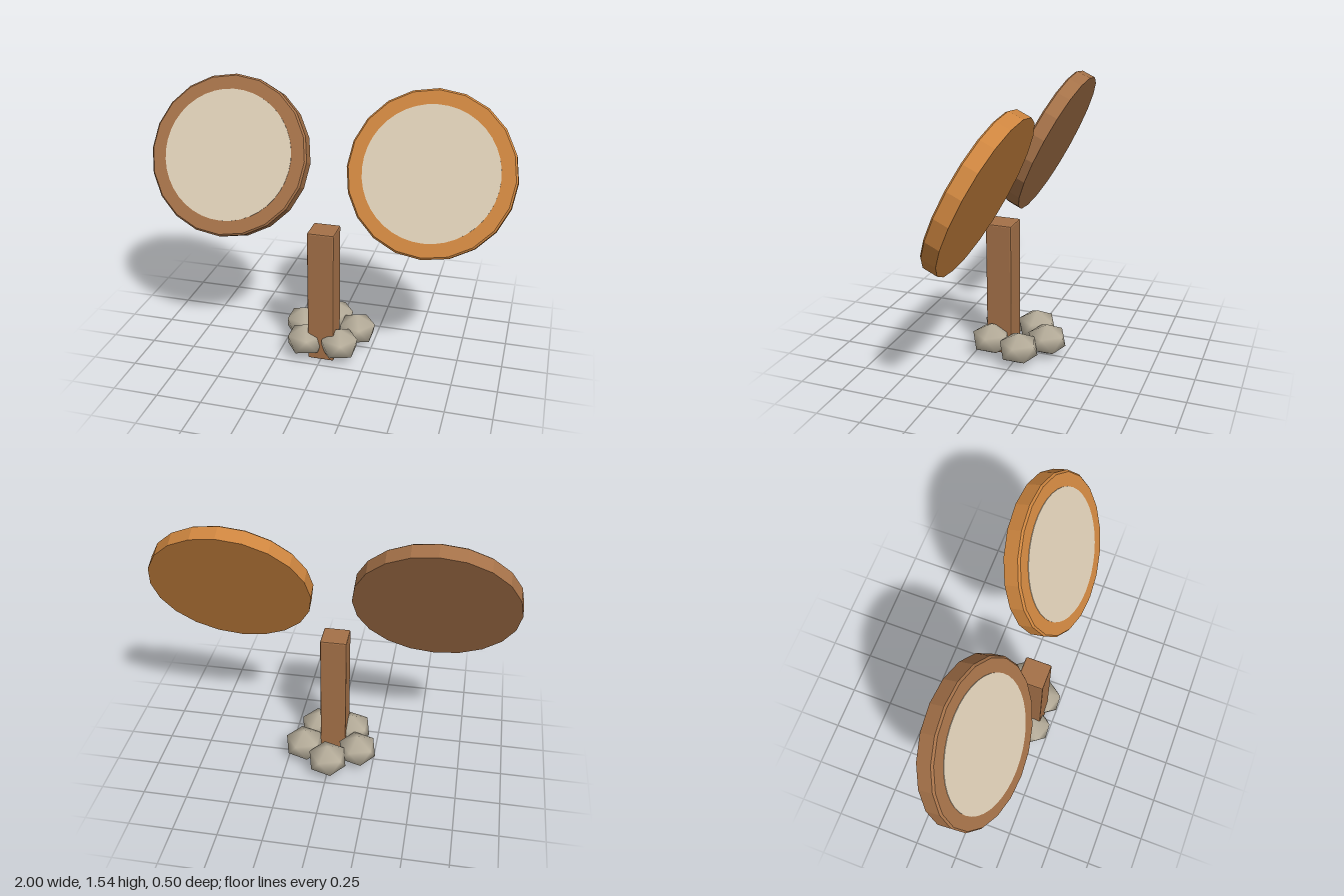
import * as THREE from 'three';
import { RoundedBoxGeometry } from 'three/addons/geometries/RoundedBoxGeometry.js';

// Stone: twelve-cornered ball with one corner up, smooth and slightly squashed
function stoneGeometry(radius, height) {
  const ring = 2 / Math.sqrt(5), level = height / Math.sqrt(5);
  const pos = [0, height, 0], index = [];
  for (let k = 0; k < 10; k++) {
    // even corners lie on the upper ring, odd ones on the lower ring
    const a = (k * Math.PI) / 5;
    pos.push(Math.cos(a) * ring * radius, k % 2 ? -level : level, Math.sin(a) * ring * radius);
  }
  pos.push(0, -height, 0);
  for (let k = 0; k < 10; k++) {
    const a = 1 + k, b = 1 + ((k + 1) % 10), c = 1 + ((k + 2) % 10);
    if (k % 2 === 0) index.push(0, c, a, a, c, b);
    else index.push(11, a, c, a, b, c);
  }
  const g = new THREE.BufferGeometry();
  g.setAttribute('position', new THREE.Float32BufferAttribute(pos, 3));
  g.setIndex(index);
  g.computeVertexNormals();
  return g;
}

function material(name, color, flatShading = false) {
  const m = new THREE.MeshStandardMaterial({ color, flatShading });
  m.name = name;
  return m;
}

export function createModel() {
  const model = new THREE.Group();
  model.name = 'twinDiscStand';

  const brown = material('brownWood', 0xa47148, true);
  const orange = material('orangeWood', 0xcd853f, true);
  const cream = material('creamFace', 0xdccdb5);
  const stone = material('greyStone', 0xb8af9c);

  const add = (parent, geometry, mat, name, x, y, z) => {
    const mesh = new THREE.Mesh(geometry, mat);
    mesh.name = name;
    mesh.position.set(x, y, z);
    parent.add(mesh);
    return mesh;
  };

  // Post
  add(model, new RoundedBoxGeometry(0.15, 0.78, 0.15, 1, 0.008), brown, 'post', 0, 0.39, 0.115);

  // Ring of stones round the foot of the post
  const stones = new THREE.Group();
  stones.name = 'stones';
  model.add(stones);
  const stoneShape = stoneGeometry(0.118, 0.0925);
  for (let i = 0; i < 5; i++) {
    const a = (i * Math.PI * 2) / 5;
    add(stones, stoneShape, stone, 'stone', Math.sin(a) * 0.166, 0.0975, 0.0165 - Math.cos(a) * 0.166);
  }

  // Two tilted wooden discs with a bevelled front edge and a pale face
  const r = 0.445, h = 0.046, bevel = 0.01;
  const profile = [[0, -h], [r, -h], [r, h - bevel], [r - bevel, h], [0, h]]
    .map(([x, y]) => new THREE.Vector2(x, y));
  const rimShape = new THREE.LatheGeometry(profile, 20);
  const faceShape = new THREE.CylinderGeometry(0.36, 0.36, 0.004, 40);
  for (const side of [-1, 1]) {
    const disc = new THREE.Group();
    disc.name = side > 0 ? 'leftDisc' : 'rightDisc';
    disc.position.set(side * 0.555, 1.117, 0.0225);
    disc.rotation.x = THREE.MathUtils.degToRad(65);
    add(disc, rimShape, side > 0 ? orange : brown, 'woodDisc', 0, 0, 0);
    add(disc, faceShape, cream, 'paleFace', 0, h + 0.001, 0);
    model.add(disc);
  }

  return model;
}
